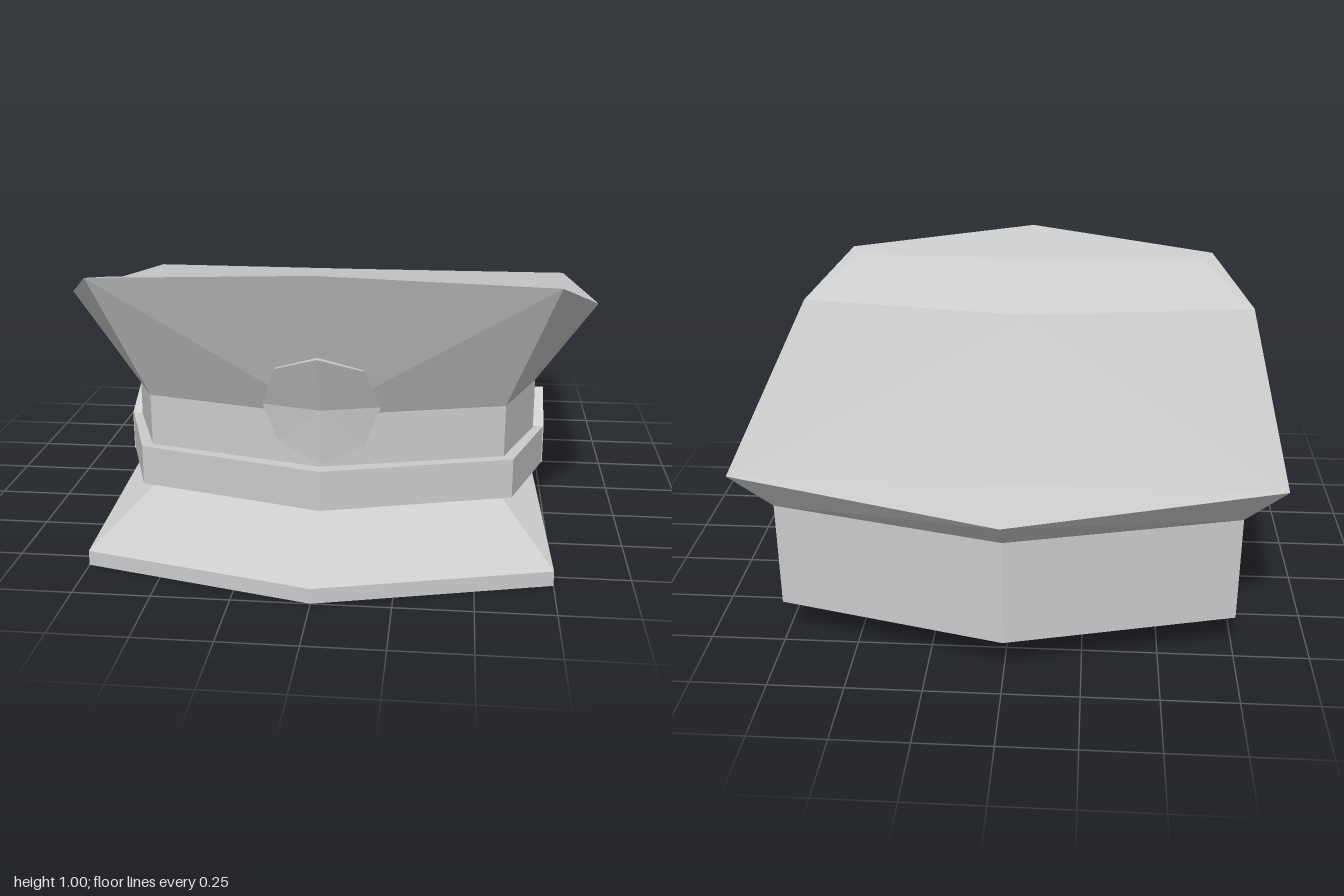
import * as THREE from 'three';

const vec = p => new THREE.Vector3(...p);
const flip = p => [-p[0], p[1], p[2]];

// Collects triangles, each mirrored to the other side of x = 0.
class Builder {
  constructor() { this.data = []; }
  tri(a, b, c) {
    const area = vec(b).sub(vec(a)).cross(vec(c).sub(vec(a))).length();
    if (area < 1e-6) return;
    this.data.push(...a, ...b, ...c, ...flip(a), ...flip(c), ...flip(b));
  }
  quad(a, b, c, d) { this.tri(a, b, c); this.tri(a, c, d); }
  // Panels between two matching point rows
  strip(a, b) {
    for (let i = 0; i < a.length - 1; i++) this.quad(a[i], a[i + 1], b[i + 1], b[i]);
  }
  mesh(name) {
    const g = new THREE.BufferGeometry();
    g.setAttribute('position', new THREE.Float32BufferAttribute(this.data, 3));
    g.computeVertexNormals();
    const m = new THREE.Mesh(g, new THREE.MeshStandardMaterial({
      color: 0xcccccc, flatShading: true, side: THREE.DoubleSide }));
    m.name = name;
    return m;
  }
}

// Half outline of the band in plan (x, z), front centre to back centre
const outline = [[0, 0.7], [0.59, 0.55], [0.7, 0.26], [0.75, -0.735], [0, -0.925]];
const level = (pts, y) => pts.map(([x, z]) => [x, y, z]);

function band() {
  const b = new Builder(), low = level(outline, 0.14);
  b.strip(low, level(outline, 0.505));
  b.strip(low.map(p => [0, p[1], p[2]]), low); // flat underside
  return b.mesh('band');
}

function crown() {
  const b = new Builder();
  const rim = [[0, 1, 0.875], [0.74, 0.94, 0.715], [0.885, 0.815, 0.39],
    [0.87, 0.645, -0.81], [0, 0.595, -1]];
  b.strip(level(outline, 0.505), rim); // flared wall
  // Folded top
  const [front, corner, side, back, tail] = rim;
  const fold = [0.69, 0.93, 0.65];
  const mid1 = [0, 0.94, 0.58], mid2 = [0, 0.815, 0.26], mid3 = [0, 0.645, -0.8];
  b.quad(front, corner, fold, mid1);
  b.tri(corner, side, fold);
  b.quad(fold, side, mid2, mid1);
  b.quad(mid2, side, back, mid3);
  b.tri(mid3, back, tail);
  return b.mesh('crown');
}

function visor() {
  const b = new Builder(), inner = outline.slice(0, 3);
  const edge = (y, end) => [[0, y, 1], [0.75, y, 0.81], [0.7, end, 0.26]];
  const low = edge(0, 0.14), high = edge(0.05, 0.18);
  b.strip(low, high);
  b.strip(high, level(inner, 0.18));
  b.strip(level(inner, 0.14), low);
  return b.mesh('visor');
}

function strap() {
  const b = new Builder(), inner = outline.slice(0, 3);
  const outer = [[0, 0.745], [0.62, 0.575], [0.735, 0.25]];
  const y0 = 0.195, y1 = 0.33;
  b.strip(level(outer, y0), level(outer, y1));
  b.strip(level(outer, y1), level(inner, y1));
  b.strip(level(inner, y0), level(outer, y0));
  return b.mesh('chinStrap');
}

// Six-sided tabs at the strap ends, as (z, y)
function strapTabs() {
  const b = new Builder();
  const pts = [[0.25, 0.195], [0.075, 0.16], [-0.1, 0.225],
    [-0.1, 0.345], [0.075, 0.42], [0.25, 0.33], [0.25, 0.195]];
  const face = pts.map(([z, y]) => [0.738 - 0.02 * (z - 0.25), y, z]);
  const base = pts.map(([z, y]) => [0.7, y, z]);
  b.strip(base, face);
  for (let i = 1; i < 5; i++) b.tri(face[0], face[i], face[i + 1]);
  return b.mesh('strapTabs');
}

// Eight-sided plate bent over the front fold
function badge() {
  const b = new Builder(), centre = [0, 0.53, 0.725];
  const face = [[0, 0.345, 0.715], [0.14, 0.4, 0.675], [0.19, 0.53, 0.675],
    [0.14, 0.67, 0.745], [0, 0.72, 0.8]];
  b.strip(face.map(([x, y, z]) => [x, y, z - 0.05]), face);
  for (let i = 0; i < 4; i++) b.tri(centre, face[i], face[i + 1]);
  return b.mesh('frontPlate');
}

export function createModel() {
  const hat = new THREE.Group();
  hat.name = 'peakedCap';
  hat.add(band(), crown(), visor(), strap(), strapTabs(), badge());
  return hat;
}
